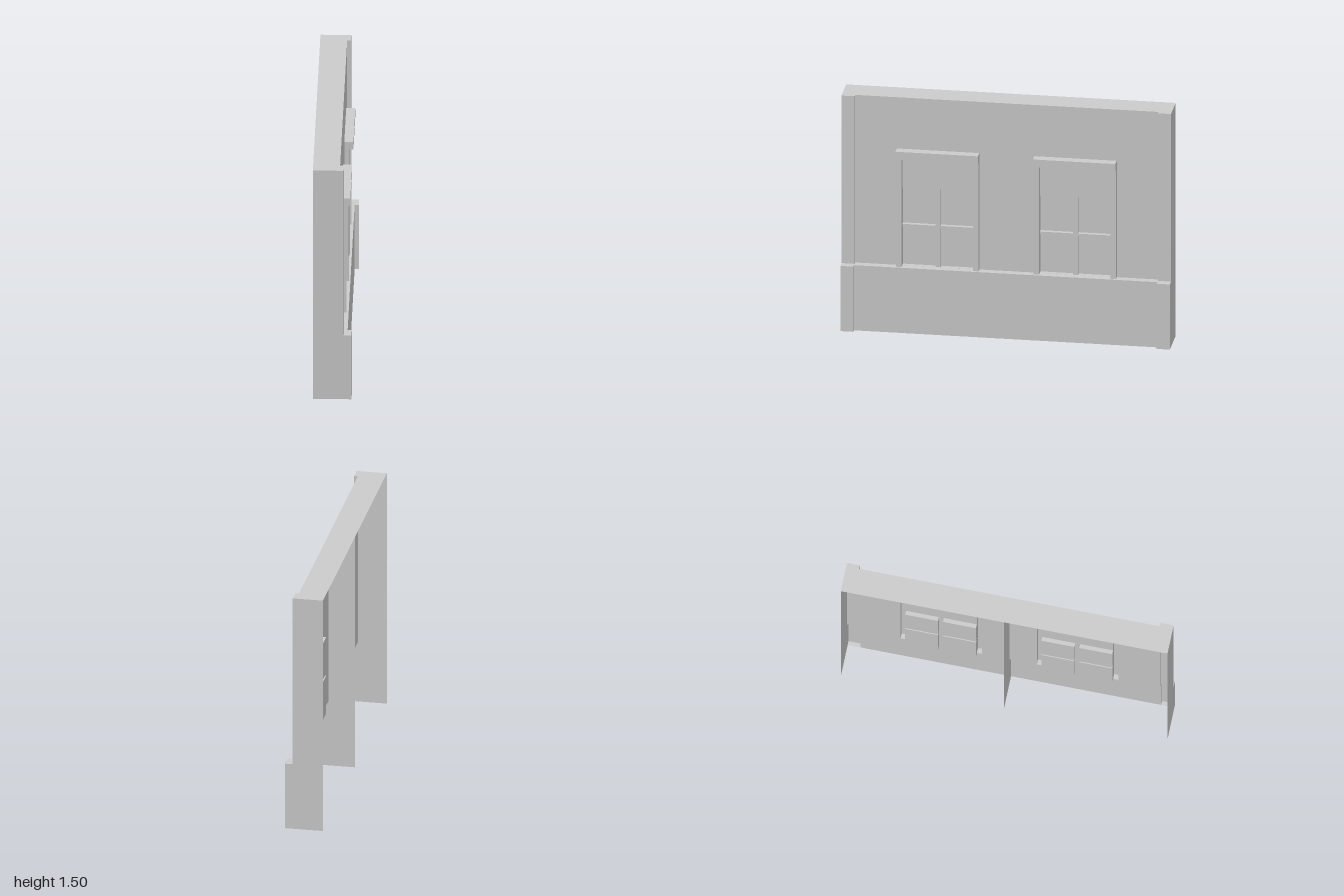
import * as THREE from 'three';

const BACK = -0.117, WALL = 0.045, PILASTER = 0.068, FRAME = 0.077, LINTEL = 0.1, PLINTH = 0.09, FOOT = 0.115;
const PANE = 0.02, SILL = 0.42, TOP = 1.5, CORNER = 0.92;
const FACES = ['+x', '-x', '+y', '-y', '+z', '-z'];

export function createModel() {
  const model = new THREE.Group();
  const mat = new THREE.MeshStandardMaterial({ color: 0xcccccc, side: THREE.DoubleSide, flatShading: true });

  const add = (name, geo, parent = model) => {
    const mesh = new THREE.Mesh(geo, mat);
    mesh.name = name;
    parent.add(mesh);
    return mesh;
  };

  // Open box keeping only the listed faces; inward turns it into a recess
  const shell = (name, x, y, z, keep, parent, inward = false) => {
    const box = new THREE.BoxGeometry(x[1] - x[0], y[1] - y[0], z[1] - z[0]);
    const all = Array.from(box.index.array);
    const index = keep.split(' ').flatMap(f => all.slice(FACES.indexOf(f) * 6, FACES.indexOf(f) * 6 + 6));
    box.setIndex(inward ? index.reverse() : index);
    box.clearGroups();
    const geo = box.toNonIndexed();
    geo.computeVertexNormals();
    geo.translate((x[0] + x[1]) / 2, (y[0] + y[1]) / 2, (z[0] + z[1]) / 2);
    return add(name, geo, parent);
  };

  const rect = (C, [z0, z1], [y0, y1]) => new C([
    new THREE.Vector2(-z0, y0), new THREE.Vector2(-z1, y0),
    new THREE.Vector2(-z1, y1), new THREE.Vector2(-z0, y1)]);

  // Flat sheet facing +x with rectangular openings
  const sheet = (name, x, z, y, holes, parent) => {
    const shape = rect(THREE.Shape, z, y);
    shape.holes = holes.map(h => rect(THREE.Path, h[0], h[1]));
    const geo = new THREE.ShapeGeometry(shape);
    geo.rotateY(Math.PI / 2);
    geo.translate(x, 0, 0);
    return add(name, geo, parent);
  };

  // Upper wall, with an opening for each window
  const openings = [[0.167, 0.667], [-0.667, -0.167]];
  sheet('wall', WALL, [-CORNER, CORNER], [SILL, TOP], openings.map(z => [z, [SILL + 0.0005, 1.17]]));
  shell('wallTop', [BACK, WALL], [0, TOP], [-1, 1], '+y');

  // Projecting base
  shell('plinth', [WALL, PLINTH], [0, SILL], [-CORNER, CORNER], '+x +y');

  // Corner pilasters, their feet and the end walls
  for (const s of [1, -1]) {
    const z = s > 0 ? [CORNER, 1] : [-1, -CORNER];
    const inner = s > 0 ? '-z' : '+z';
    shell('pilaster', [WALL, PILASTER], [SILL, TOP], z, `+x +y ${inner}`);
    shell('pilasterFoot', [PILASTER, FOOT], [0, SILL], z, '+x +y');
    shell('pilasterFootReturn', [PLINTH, FOOT], [0, SILL], z, `-y ${inner}`);

    const profile = [[BACK, 0], [FOOT, 0], [FOOT, SILL], [PILASTER, SILL], [PILASTER, TOP], [BACK, TOP]];
    const end = new THREE.ShapeGeometry(new THREE.Shape(profile.map(([x, y]) => new THREE.Vector2(s * x, y))));
    if (s < 0) end.rotateY(Math.PI);
    end.translate(0, 0, s);
    add('endWall', end);
  }

  // Thin cross wall behind the middle
  shell('crossWallUpper', [BACK, WALL], [SILL, TOP], [-0.0005, 0], '+z');
  shell('crossWallLower', [BACK, PLINTH], [0, SILL], [-0.0005, 0], '+z');

  // Windows
  for (const [z0, z1] of openings) {
    const win = new THREE.Group();
    win.name = 'window';
    model.add(win);
    const a = z0 + 0.033, b = z1 - 0.033, mid = (a + b) / 2;

    // Hollow side frames and lintel
    shell('sideFrame', [WALL, FRAME], [SILL, 1.12], [z0, a], '+x +z -z', win);
    shell('sideFrame', [WALL, FRAME], [SILL, 1.12], [b, z1], '+x +z -z', win);
    shell('lintel', [WALL, LINTEL], [1.12, 1.17], [z0, z1], '+x +y -y +z -z', win);

    // Blind and glazing bars in one sheet, with four recessed panes
    const panes = [];
    for (const z of [[a, mid - 0.015], [mid + 0.015, b]])
      for (const y of [[SILL, 0.67], [0.686, 0.92]]) panes.push([z, y]);
    const bars = [
      ['blind', [a, b], [0.92, 1.12]],
      ['verticalBar', [mid - 0.015, mid + 0.015], [SILL, 0.92]],
      ['horizontalBar', [a, mid - 0.015], [0.67, 0.686]],
      ['horizontalBar', [mid + 0.015, b], [0.67, 0.686]],
    ];
    for (const [name, z, y] of bars) sheet(name, WALL, z, y, [], win);
    for (const [z, y] of panes) shell('pane', [PANE, WALL], y, z, '-x +y -y +z -z', win, true);
  }
  return model;
}
